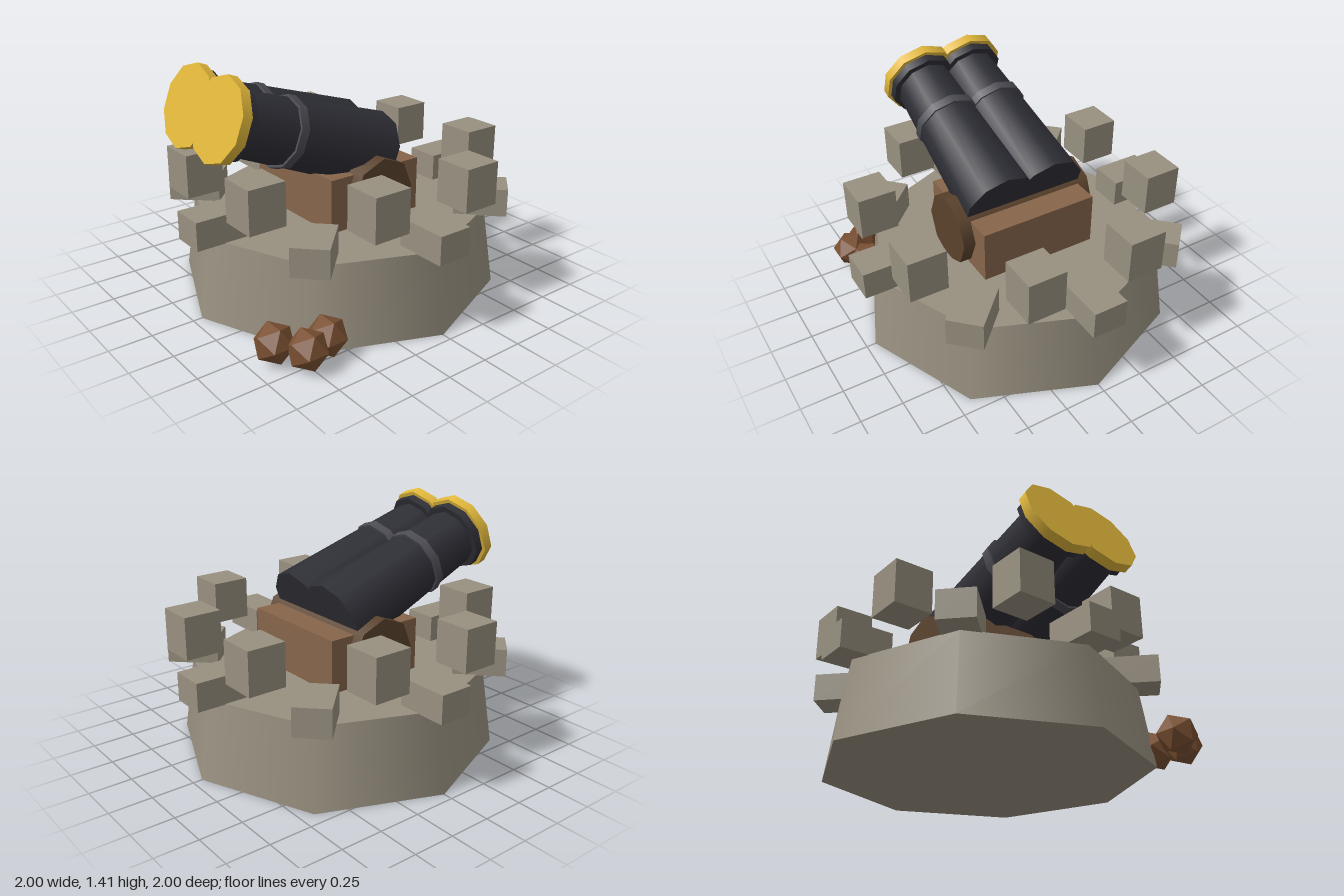
import * as THREE from 'three';

const mat = (name, color) => Object.assign(new THREE.MeshStandardMaterial({ color }), { name });

export function createModel() {
  const stone = mat('stone', 0x989080);
  const wood = mat('wood', 0x87654a);
  const darkWood = mat('darkWood', 0x5a422c);
  const iron = mat('iron', 0x2e2e36);
  const steel = mat('steel', 0x4b4b52);
  const gold = mat('gold', 0xe0b63a);
  const rust = mat('rust', 0x7a5032);
  rust.flatShading = true;

  const model = new THREE.Group();
  model.name = 'cannonTower';

  const add = (parent, name, geometry, material, x = 0, y = 0, z = 0) => {
    const mesh = new THREE.Mesh(geometry, material);
    mesh.name = name;
    mesh.position.set(x, y, z);
    parent.add(mesh);
    return mesh;
  };

  // Eight-sided tapered tower
  add(model, 'towerBase', new THREE.CylinderGeometry(0.875, 0.945, 0.468, 8), stone, 0, 0.234, 0);

  // Low ring of radial blocks
  const lowBlock = new THREE.BoxGeometry(0.205, 0.165, 0.305);
  for (let i = 0; i < 8; i++) {
    const a = (i * Math.PI) / 4;
    add(model, 'lowBlock', lowBlock, stone, 0.848 * Math.sin(a), 0.547, 0.848 * Math.cos(a)).rotation.y = a;
  }

  // Upper ring of blocks, all square to the axes
  const highBlock = new THREE.BoxGeometry(0.225, 0.25, 0.225);
  const highSpots = [
    [-0.31, -0.77], [0.32, -0.77], [0.76, -0.315], [0.76, 0.315],
    [0.305, 0.757], [-0.327, 0.76], [-0.765, 0.303], [-0.765, -0.33],
  ];
  for (const [x, z] of highSpots) add(model, 'highBlock', highBlock, stone, x, 0.755, z);

  // Carriage with a thick axle drum through it
  add(model, 'carriage', new THREE.BoxGeometry(0.722, 0.315, 0.62), wood, 0, 0.623, 0);
  const drum = new THREE.CylinderGeometry(0.206, 0.206, 0.866, 8);
  add(model, 'axleDrum', drum, darkWood, 0, 0.655, 0).rotation.z = Math.PI / 2;

  // Twin barrels: local +y points out of the muzzle, origin at the muzzle face
  const section = (parent, name, from, to, rFront, rBack, material) =>
    add(parent, name, new THREE.CylinderGeometry(rFront, rBack, to - from, 10), material, 0, -(from + to) / 2, 0);
  for (const side of [-1, 1]) {
    const barrel = new THREE.Group();
    barrel.name = side > 0 ? 'leftBarrel' : 'rightBarrel';
    section(barrel, 'muzzleCap', 0, 0.057, 0.235, 0.235, gold);
    section(barrel, 'muzzleCollar', 0.057, 0.106, 0.212, 0.212, iron);
    section(barrel, 'barrelTube', 0.1, 1.087, 0.175, 0.227, iron);
    section(barrel, 'barrelBand', 0.394, 0.445, 0.205, 0.205, steel);
    barrel.position.set(side * 0.155, 1.185, 0.8785);
    barrel.rotation.x = THREE.MathUtils.degToRad(70);
    model.add(barrel);
  }

  // Cannonballs at the foot of the tower
  const ball = new THREE.IcosahedronGeometry(0.115, 0);
  for (const [x, z] of [[0.617, 0.87], [0.77, 0.77], [0.725, 0.617]]) {
    add(model, 'cannonball', ball, rust, x, 0.12, z);
  }

  return model;
}
